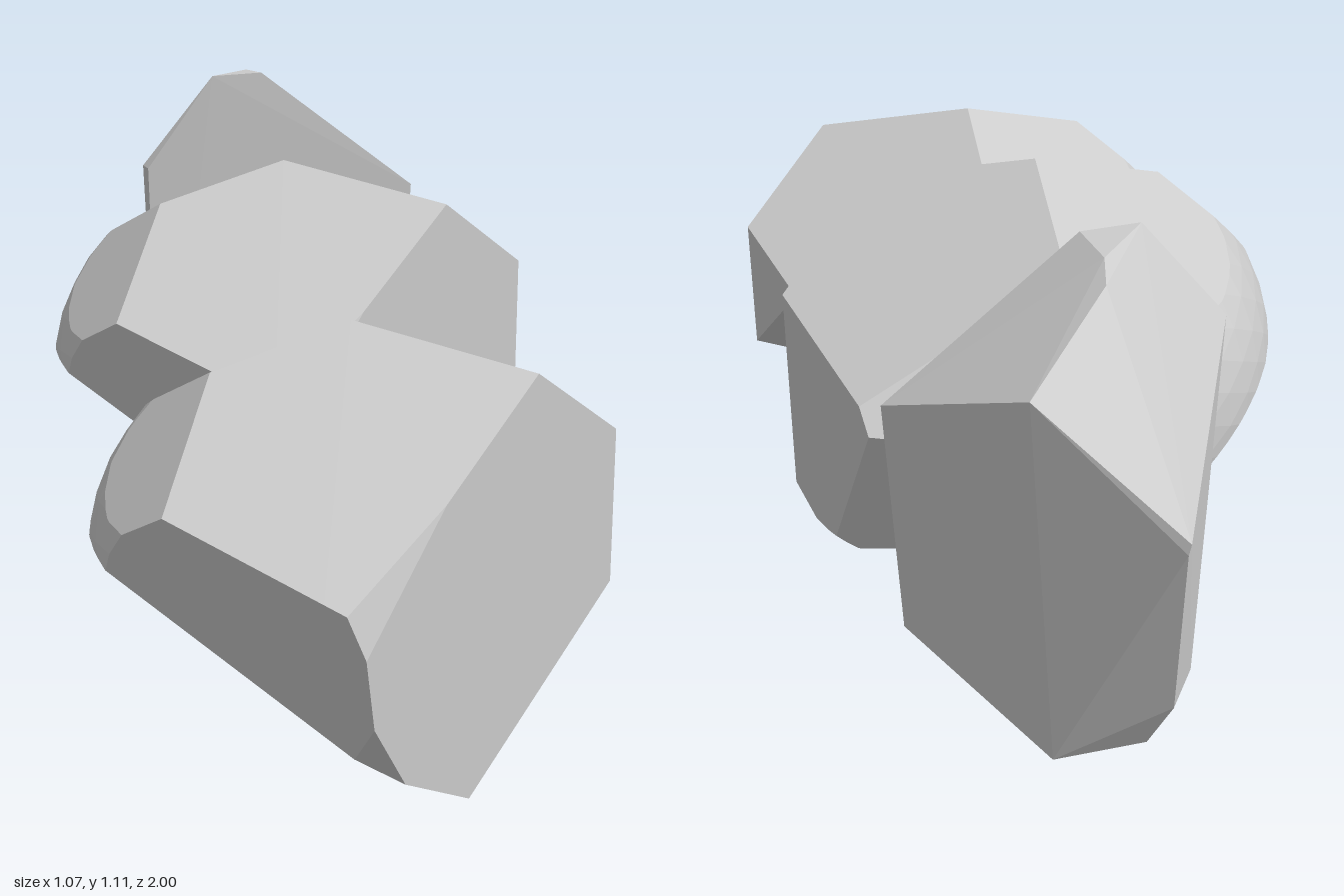
import * as THREE from 'three';
import { ConvexGeometry } from 'three/addons/geometries/ConvexGeometry.js';

const material = new THREE.MeshStandardMaterial({ color: 0xcccccc, flatShading: true });
const V = (p) => new THREE.Vector3(...p);

// Points of a geometry with duplicates merged
function uniquePoints(points) {
  const map = new Map();
  for (const p of points) map.set(p.toArray().map((v) => Math.round(v * 5000)).join(), p);
  return [...map.values()];
}

function pointsOf(geometry) {
  const pos = geometry.getAttribute('position');
  return Array.from({ length: pos.count }, (_, i) => new THREE.Vector3().fromBufferAttribute(pos, i));
}

// Slice a convex solid with a plane, keeping the side that holds the centre
function slice(points, corners, centre) {
  const plane = new THREE.Plane().setFromCoplanarPoints(...corners.map(V));
  if (plane.distanceToPoint(centre) > 0) plane.negate();
  const tri = pointsOf(new ConvexGeometry(points));
  const kept = [];
  for (let i = 0; i < tri.length; i++) {
    const a = tri[i], b = tri[i % 3 === 2 ? i - 2 : i + 1];
    const da = plane.distanceToPoint(a), db = plane.distanceToPoint(b);
    if (da <= 1e-6) kept.push(a);
    if (da * db < 0) kept.push(a.clone().lerp(b, da / (da - db)));
  }
  return uniquePoints(kept);
}

// Rounded boulder: a squashed ball with flat faces sliced off
function boulder(cuts) {
  const centre = new THREE.Vector3(-0.02, 0.375, 0.615);
  const ball = new THREE.IcosahedronGeometry(1, 7).scale(0.52, 0.43, 0.51);
  ball.translate(centre.x, centre.y, centre.z);
  let points = uniquePoints(pointsOf(ball));
  for (const cut of cuts) points = slice(points, cut, centre);
  return new ConvexGeometry(points);
}

// Corners shared by the two boulders
const peak = [-0.08, 0.78, 0.585], topLeft = [-0.33, 0.705, 0.575], topRight = [0.18, 0.705, 0.78];
const topBack = [-0.03, 0.705, 0.375], sideTop = [0.4, 0.565, 0.655], sideLow = [0.4, 0.285, 0.65];
const sideBack = [0.375, 0.52, 0.415], leftEdge = [-0.475, 0.51, 0.75], nose = [-0.25, 0.39, 0.985];
const chin = [-0.2, 0.2, 0.985], jaw = [-0.215, 0.135, 0.943], foot = [0.03, 0, 0.85];

const sharedCuts = [
  [topRight, sideTop, sideLow],                      // front right
  [peak, topRight, sideTop],                         // top right
  [peak, topRight, nose],                            // top front
  [peak, topLeft, topBack],                          // top back
  [sideTop, sideLow, sideBack],                      // right side
  [leftEdge, nose, chin],                            // front left
  [topLeft, leftEdge, [-0.41, 0.634, 0.46]],         // upper left
  [[-0.535, 0.4, 0.632], jaw, foot],                 // underside
  [jaw, chin, [-0.125, 0.08, 0.94]],                 // chin chip
  [nose, [-0.22, 0.315, 0.997], [-0.09, 0.49, 0.922]], // nose chip
];

// Underside cut of the front boulder
const frontCuts = [[foot, sideLow, sideBack]];

// Underside and back cuts of the middle boulder
const shift = [0.12, 0.2, -0.63];
const local = (p) => p.map((v, i) => v - shift[i]);
const low = [0.27, 0.15, 0.16], heel = [0.5, 0.29, -0.14], tail = [0.155, 0.31, -0.33];
const middleCuts = [
  [[0.515, 0.345, 0.02], heel, low],
  [heel, low, tail],
  [heel, [0.49, 0.63, -0.31], tail],
  [[0.2, 0.837, -0.3], [0.49, 0.71, -0.28], [0.3, 0.63, -0.41]],
].map((cut) => cut.map(local));

// Tall wedge-shaped stone
const slabCorners = [
  [0.53, 0.855, -0.53], [0.37, 0.965, -0.775], [0.2, 1.09, -0.69], [0.18, 1.11, -0.64],
  [0.18, 1.11, -0.545], [0.07, 1.105, -0.55], [0.195, 0.79, -1], [0.2, 0.77, -1],
  [-0.075, 0.915, -0.59], [-0.07, 0.91, -0.57], [-0.04, 0.145, -0.58], [0.2, 0.44, -0.97],
  [0.22, 0.33, -0.915], [0.345, 0.25, -0.81], [0.25, 0.205, -0.75], [0.51, 0.4, -0.545],
];

export function createModel() {
  const group = new THREE.Group();
  const add = (name, geometry) => {
    const mesh = new THREE.Mesh(geometry, material);
    mesh.name = name;
    group.add(mesh);
    return mesh;
  };
  add('frontRock', boulder([...sharedCuts, ...frontCuts]));
  add('middleRock', boulder([...sharedCuts, ...middleCuts])).position.set(...shift);
  add('backRock', new ConvexGeometry(slabCorners.map(V)));
  return group;
}
